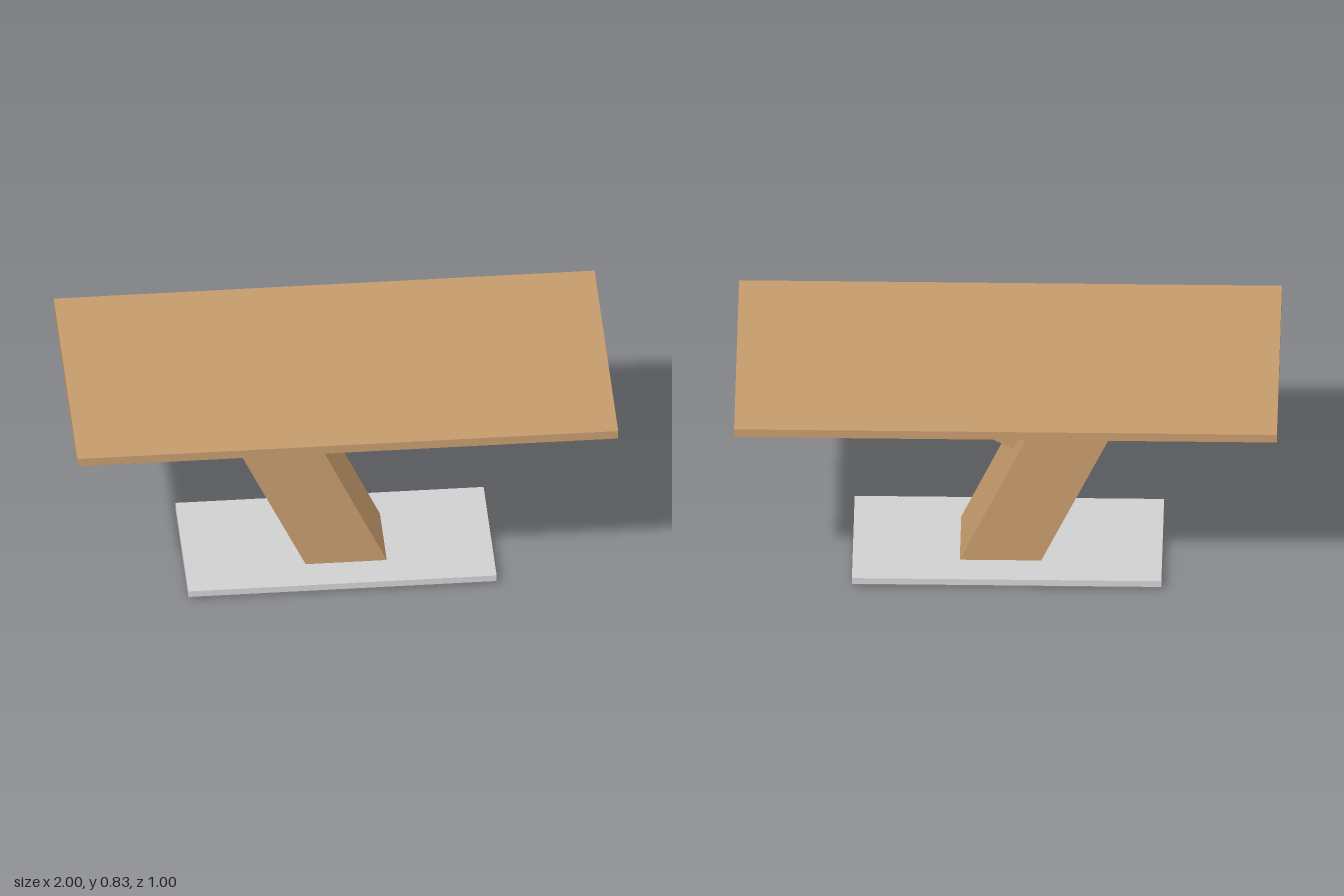
import * as THREE from 'three';

const wood = new THREE.MeshStandardMaterial({ color: 0xc49a6c });
wood.name = 'wood';
const metal = new THREE.MeshStandardMaterial({ color: 0xd0d0d0 });
metal.name = 'brushedMetal';

function part(name, geometry, material) {
  const mesh = new THREE.Mesh(geometry, material);
  mesh.name = name;
  return mesh;
}

// Straight beam: a side outline in x, y extruded evenly about z = 0
function beam(outline, width) {
  const shape = new THREE.Shape(outline.map(([x, y]) => new THREE.Vector2(x, y)));
  return new THREE.ExtrudeGeometry(shape, { depth: width, bevelEnabled: false })
    .translate(0, 0, -width / 2);
}

// Slab whose lower rim is chamfered inward
function chamferedSlab(width, height, depth, chamfer) {
  const box = new THREE.BoxGeometry(width, height, depth, 1, 2, 1).translate(0, height / 2, 0);
  const pos = box.attributes.position;
  for (let i = 0; i < pos.count; i++) {
    const y = pos.getY(i);
    if (y < 0.001) {
      pos.setX(i, pos.getX(i) - Math.sign(pos.getX(i)) * chamfer);
      pos.setZ(i, pos.getZ(i) - Math.sign(pos.getZ(i)) * chamfer);
    } else if (y < height * 0.75) {
      pos.setY(i, chamfer);
    }
  }
  const flat = box.toNonIndexed();
  flat.computeVertexNormals();
  return flat;
}

export function createModel() {
  const table = new THREE.Group();
  table.name = 'table';

  // Top
  table.add(part('tabletop', new THREE.BoxGeometry(2, 0.034, 1).translate(0, 0.817, 0), wood));

  // Leaning leg and the brace that branches from it
  table.add(part('leg', beam([[-0.125, 0.036], [0.175, 0.036], [-0.175, 0.8], [-0.48, 0.8]], 0.29), wood));
  table.add(part('brace', beam([[-0.02, 0.465], [0.56, 0.8], [0.335, 0.8], [-0.071, 0.573]], 0.108), wood));

  // Base plate
  table.add(part('basePlate', chamferedSlab(1.14, 0.036, 0.552, 0.011), metal));

  return table;
}
